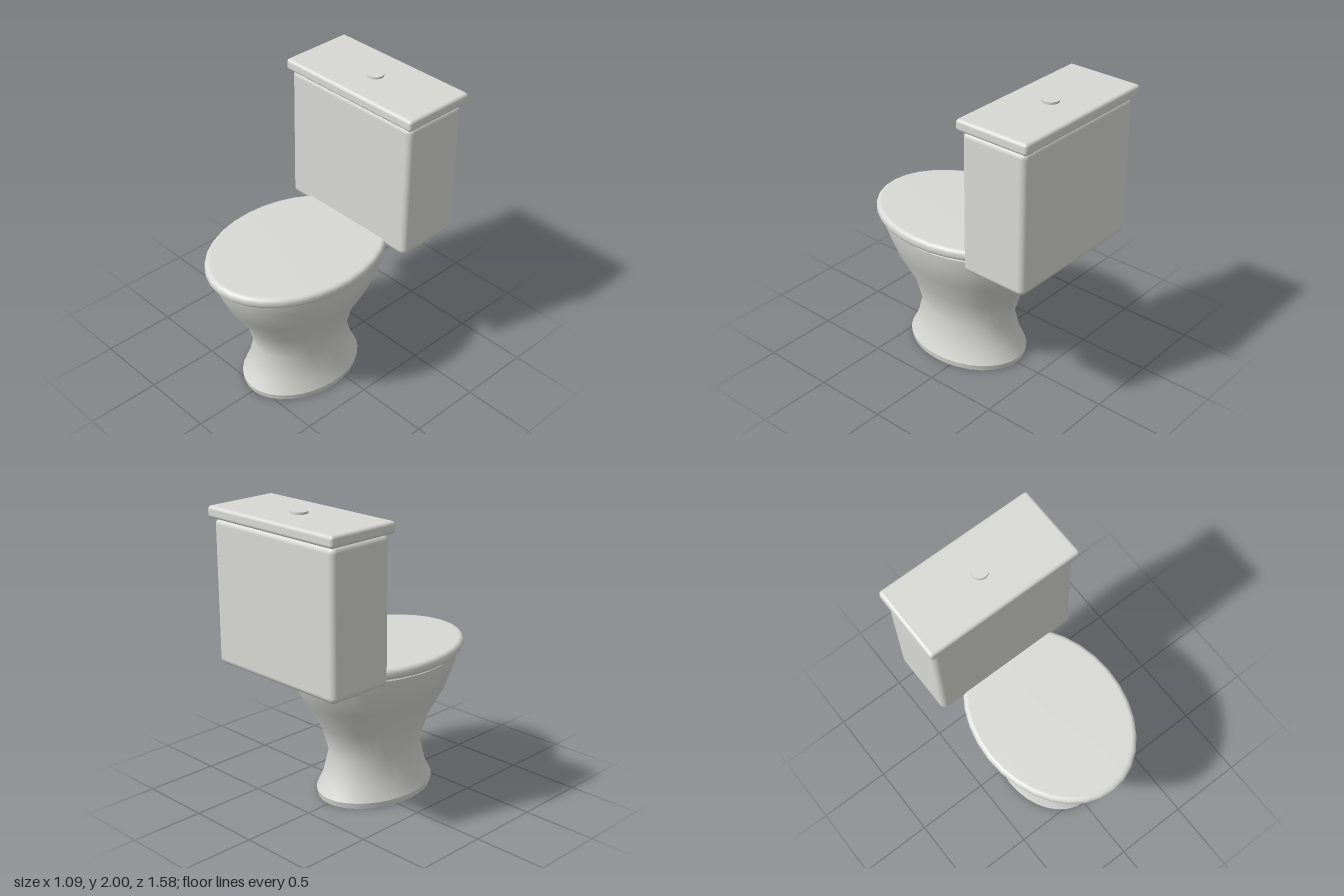
import * as THREE from 'three';
import { RoundedBoxGeometry } from 'three/addons/geometries/RoundedBoxGeometry.js';

const SEGMENTS = 32;

export function createModel() {
  const model = new THREE.Group();
  model.name = 'toilet';
  const ceramic = new THREE.MeshStandardMaterial({ color: 0xd8d8d4 });
  ceramic.name = 'ceramic';

  const add = (name, geometry, x, y, z) => {
    const mesh = new THREE.Mesh(geometry, ceramic);
    mesh.name = name;
    mesh.position.set(x, y, z);
    model.add(mesh);
  };

  // Oval turned form: profile of [radius, height], stretched front to back
  const oval = (name, profile, stretch, z) => {
    const points = profile.map(([r, y]) => new THREE.Vector2(r, y));
    const geometry = new THREE.LatheGeometry(points, SEGMENTS);
    geometry.scale(1, 1, stretch);
    add(name, geometry, 0, 0, z);
  };

  // Underside, foot rim and flared bowl, separate so their edges stay crisp
  oval('footUnderside', [[0, 0], [0.325, 0]], 1.33, 0.115);
  oval('footRim', [[0.325, 0], [0.331, 0.04]], 1.33, 0.115);
  oval('bowl', [[0.331, 0.04], [0.295, 0.13], [0.26, 0.3], [0.306, 0.5],
    [0.406, 0.7], [0.455, 0.85], [0.468, 0.937]], 1.33, 0.115);
  oval('bowlRim', [[0.468, 0.937], [0.46, 0.937], [0.46, 0.955]], 1.33, 0.115);

  // Closed seat lid with a rounded edge
  const lidRadius = 0.493, lidBottom = 0.945, lidTop = 1.02, edge = 0.03;
  const lidProfile = [[0, lidBottom]];
  for (const [centre, start] of [[lidBottom + edge, -90], [lidTop - edge, 0]]) {
    for (let i = 0; i <= 4; i++) {
      const a = THREE.MathUtils.degToRad(start + i * 22.5);
      lidProfile.push([lidRadius - edge + edge * Math.cos(a), centre + edge * Math.sin(a)]);
    }
  }
  lidProfile.push([0, lidTop]);
  oval('seatLid', lidProfile, 1.32, 0.138);

  // Cistern, its cover and the flush button
  add('tank', new RoundedBoxGeometry(1.04, 0.94, 0.466, 4, 0.04), 0, 1.44, -0.532);
  add('tankCover', new RoundedBoxGeometry(1.086, 0.075, 0.52, 4, 0.022), 0, 1.948, -0.532);
  add('flushButton', new THREE.CylinderGeometry(0.055, 0.055, 0.03, SEGMENTS), 0, 1.985, -0.532);

  return model;
}
